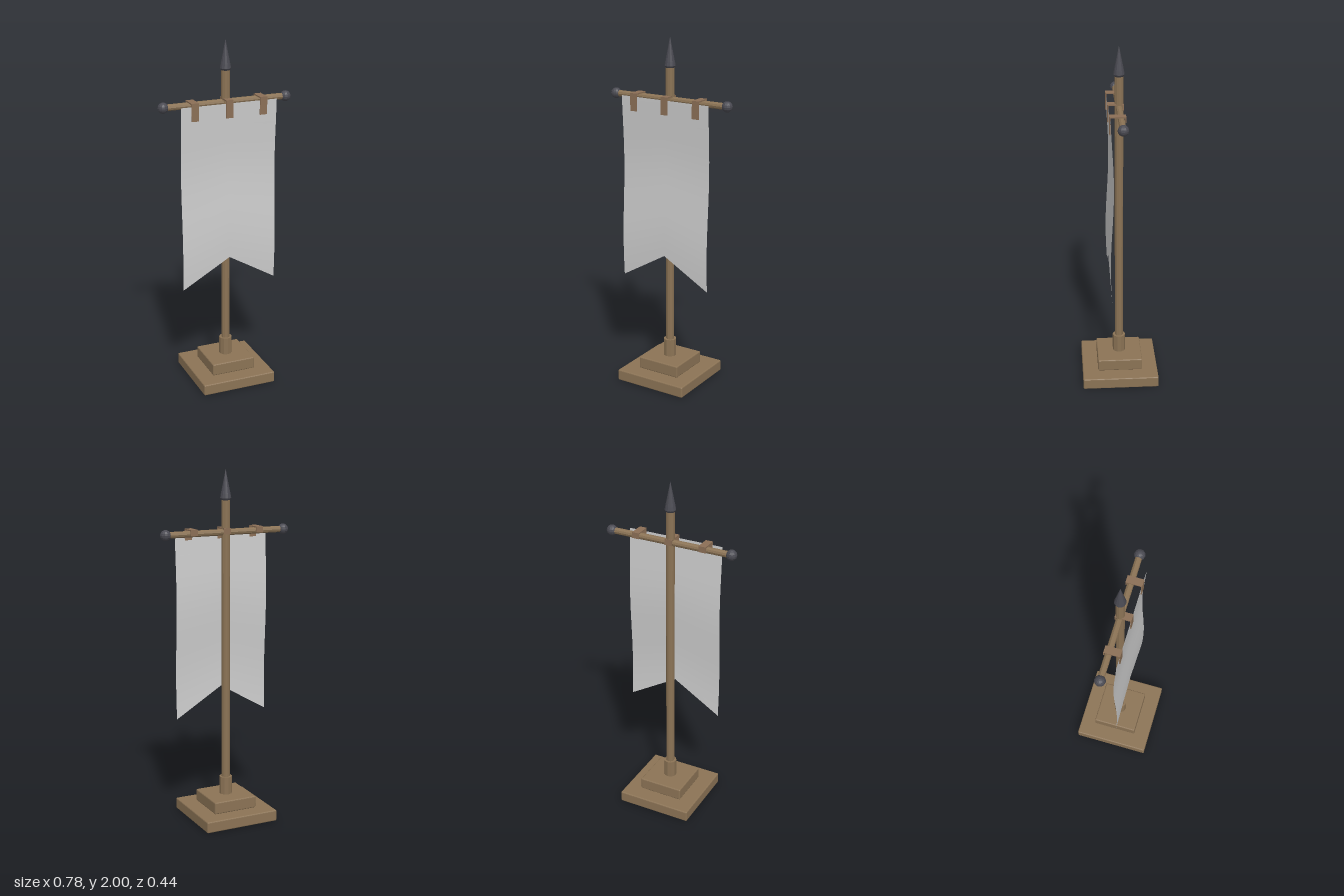
import * as THREE from 'three';
import { RoundedBoxGeometry } from 'three/addons/geometries/RoundedBoxGeometry.js';

const material = (name, color, extra = {}) => {
  const m = new THREE.MeshStandardMaterial({ color, ...extra });
  m.name = name;
  return m;
};

export function createModel() {
  const model = new THREE.Group();
  model.name = 'standingBanner';
  const wood = material('wood', 0x8b7355, { flatShading: true });
  const strap = material('strap brown', 0x8b6f56);
  const metal = material('dark metal', 0x4a4a52, { flatShading: true });
  const cloth = material('grey cloth', 0xcccccc, { side: THREE.DoubleSide });

  const add = (name, geometry, mat, x = 0, y = 0, z = 0, parent = model) => {
    const mesh = new THREE.Mesh(geometry, mat);
    mesh.name = name;
    mesh.position.set(x, y, z);
    parent.add(mesh);
    return mesh;
  };

  // Stepped foot with softened edges
  add('baseLower', new RoundedBoxGeometry(0.44, 0.065, 0.44, 2, 0.007), wood, 0, 0.0325);
  add('baseUpper', new RoundedBoxGeometry(0.26, 0.07, 0.26, 2, 0.007), wood, 0, 0.1);

  // Upright pole and its socket
  add('socket', new THREE.CylinderGeometry(0.037, 0.037, 0.11, 10), wood, 0, 0.183);
  add('pole', new THREE.CylinderGeometry(0.024, 0.024, 1.72, 12), wood, 0, 0.98);

  // Spear-shaped finial
  const tip = [[0, 1.825], [0.022, 1.828], [0.031, 1.842], [0.027, 1.865], [0, 2]];
  add('finial', new THREE.LatheGeometry(tip.map(([r, y]) => new THREE.Vector2(r, y)), 12), metal);

  // Crossbar with a ball on each end
  const bar = add('crossbar', new THREE.CylinderGeometry(0.018, 0.018, 0.72, 10), wood, 0, 1.655);
  bar.rotation.z = Math.PI / 2;
  for (const side of [-1, 1]) {
    add(side < 0 ? 'rightBall' : 'leftBall', new THREE.SphereGeometry(0.03, 12, 8), metal, side * 0.36, 1.655);
  }

  // Hanging cloth: gently waved, with a swallowtail lower edge
  const banner = new THREE.PlaneGeometry(0.56, 1, 2, 24);
  const p = banner.attributes.position;
  for (let i = 0; i < p.count; i++) {
    const x = p.getX(i);
    const bottom = 0.765 - 0.165 * Math.abs(x) / 0.28;
    const y = bottom + (p.getY(i) + 0.5) * (1.66 - bottom);
    p.setXYZ(i, x, y, 0.053 - 0.009 * Math.sin((y - 1.05) * 2 * Math.PI / 0.95));
  }
  banner.computeVertexNormals();
  add('banner', banner, cloth);

  // Straps folded over the bar and down the front of the cloth
  for (const x of [-0.2, 0, 0.2]) {
    const loop = new THREE.Group();
    loop.name = 'strapLoop';
    add('strapTop', new THREE.BoxGeometry(0.042, 0.007, 0.088), strap, x, 1.6755, 0.019, loop);
    add('strapFront', new THREE.BoxGeometry(0.042, 0.1, 0.006), strap, x, 1.629, 0.061, loop);
    add('strapBack', new THREE.BoxGeometry(0.042, 0.03, 0.005), strap, x, 1.66, -0.0225, loop);
    model.add(loop);
  }
  return model;
}
